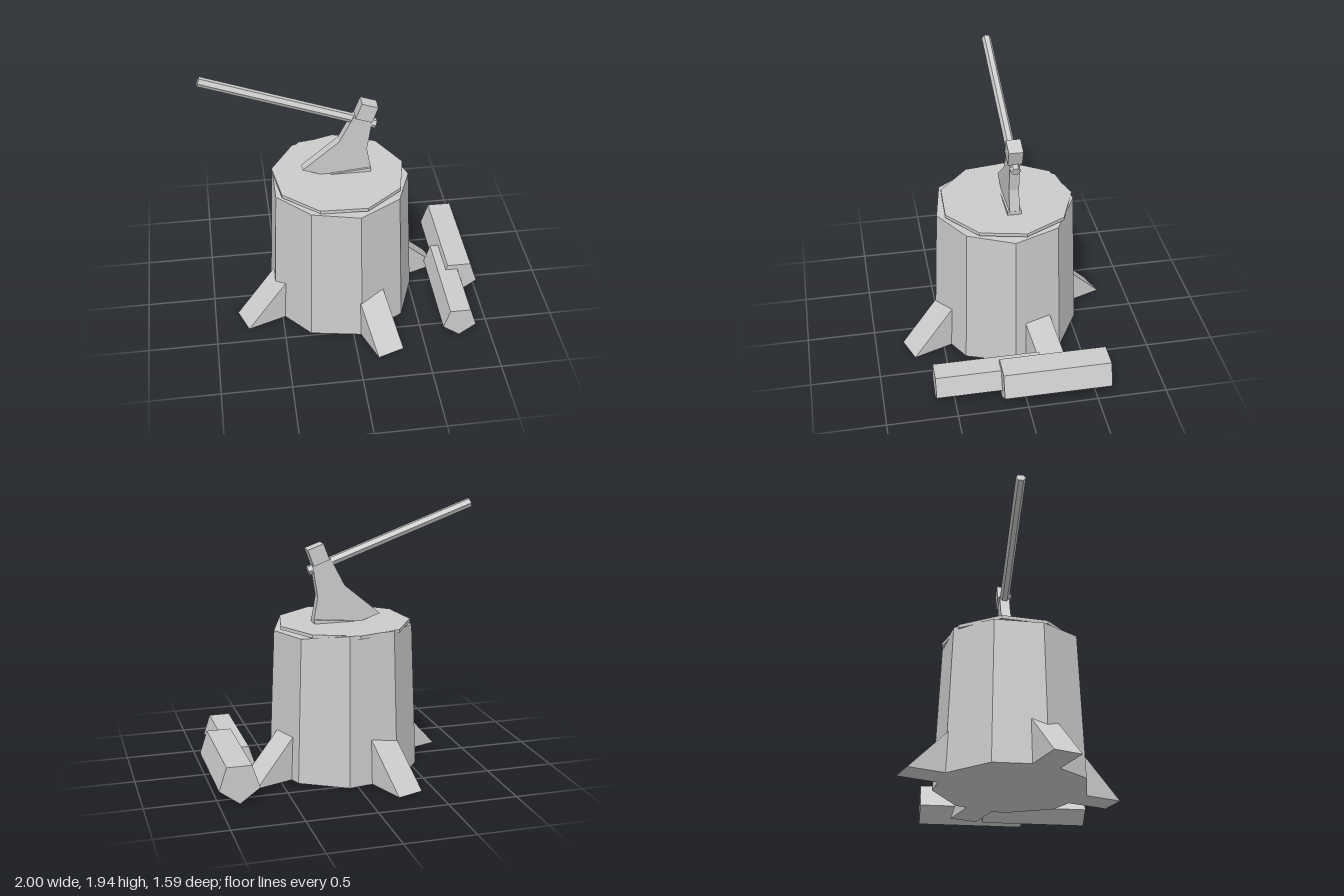
import * as THREE from 'three';

const mat = new THREE.MeshStandardMaterial({ color: 0xcccccc, flatShading: true });

function add(parent, name, geometry) {
  const mesh = new THREE.Mesh(geometry, mat);
  mesh.name = name;
  parent.add(mesh);
  return mesh;
}

// Flat outline in x/y, extruded along z from z0 by depth
function slab(points, z0, depth) {
  const shape = new THREE.Shape(points.map(([x, y]) => new THREE.Vector2(x, y)));
  return new THREE.ExtrudeGeometry(shape, { depth, bevelEnabled: false }).translate(0, 0, z0);
}

const CX = -0.035; // stump axis

// Nine-sided tapered trunk with an uneven rim; angles run from +x towards +z
function trunkGeometry() {
  const rim = [1.04, 1.06, 1.052, 1.07, 1.05, 1.06, 1.09, 1.09, 1.05];
  const n = rim.length;
  const point = (i, r, y) => {
    const a = (i / n) * Math.PI * 2;
    return [r * Math.cos(a), y, r * Math.sin(a)];
  };
  const pos = [];
  for (let i = 0; i < n; i++) {
    const j = (i + 1) % n;
    const a = point(i, 0.55, 0), b = point(j, 0.55, 0);
    const c = point(j, 0.505, rim[j]), d = point(i, 0.505, rim[i]);
    pos.push(...a, ...d, ...b, ...b, ...d, ...c); // side
    pos.push(...d, 0, 1.06, 0, ...c);             // top
    pos.push(...a, ...b, 0, 0, 0);                // underside
  }
  const g = new THREE.BufferGeometry();
  g.setAttribute('position', new THREE.Float32BufferAttribute(pos, 3));
  g.computeVertexNormals();
  return g;
}

export function createModel() {
  const model = new THREE.Group();
  model.name = 'choppingBlock';

  // Stump
  const stump = new THREE.Group();
  stump.name = 'stump';
  stump.position.x = CX;
  model.add(stump);
  add(stump, 'trunk', trunkGeometry());

  // Cut face, turned against the trunk's sides
  const disc = new THREE.CylinderGeometry(0.485, 0.485, 0.025, 9);
  disc.rotateY(THREE.MathUtils.degToRad(90 - 32));
  add(stump, 'cutFace', disc.translate(-0.005, 1.0775, -0.02));

  // Four wedge-shaped roots
  for (let i = 0; i < 4; i++) {
    const root = add(stump, 'root', slab([[0.3, 0], [0.81, 0], [0.3, 0.53]], -0.102, 0.204));
    root.rotation.y = THREE.MathUtils.degToRad(20 + 90 * i);
  }

  // Five-sided logs lying beside the stump
  for (const [x, r, z0, z1] of [[0.857, 0.15, -0.6, 0.17], [0.77, 0.128, -0.13, 0.635]]) {
    const pts = [];
    for (let i = 0; i < 5; i++) {
      const a = -Math.PI / 2 + (i / 5) * Math.PI * 2;
      pts.push([x + r * Math.cos(a), r + r * Math.sin(a)]);
    }
    add(model, 'log', slab(pts, z0, z1 - z0));
  }

  // Axe
  const axe = new THREE.Group();
  axe.name = 'axe';
  axe.position.z = -0.042;
  model.add(axe);

  // Hexagonal handle running from the grip end to the head
  const from = new THREE.Vector2(-0.988, 1.907), to = new THREE.Vector2(0.228, 1.468);
  const handle = add(axe, 'handle', new THREE.CylinderGeometry(0.035, 0.035, from.distanceTo(to), 6));
  handle.position.set((from.x + to.x) / 2, (from.y + to.y) / 2, 0);
  handle.rotation.z = Math.atan2(to.y - from.y, to.x - from.x) - Math.PI / 2;

  add(axe, 'blade', slab([
    [0.07, 1.555], [-0.035, 1.355], [-0.3, 1.135], [-0.17, 1.09], [-0.05, 1.06],
    [0.19, 1.06], [0.195, 1.11], [0.165, 1.28], [0.2, 1.51],
  ], -0.036, 0.072));
  add(axe, 'poll', slab([[0.08, 1.548], [0.197, 1.507], [0.24, 1.625], [0.125, 1.665]], -0.051, 0.102));
  add(axe, 'cleft', slab([[-0.1, 1.07], [0.19, 1.07], [0.195, 1.12], [-0.1, 1.093]], -0.051, 0.102));

  return model;
}
